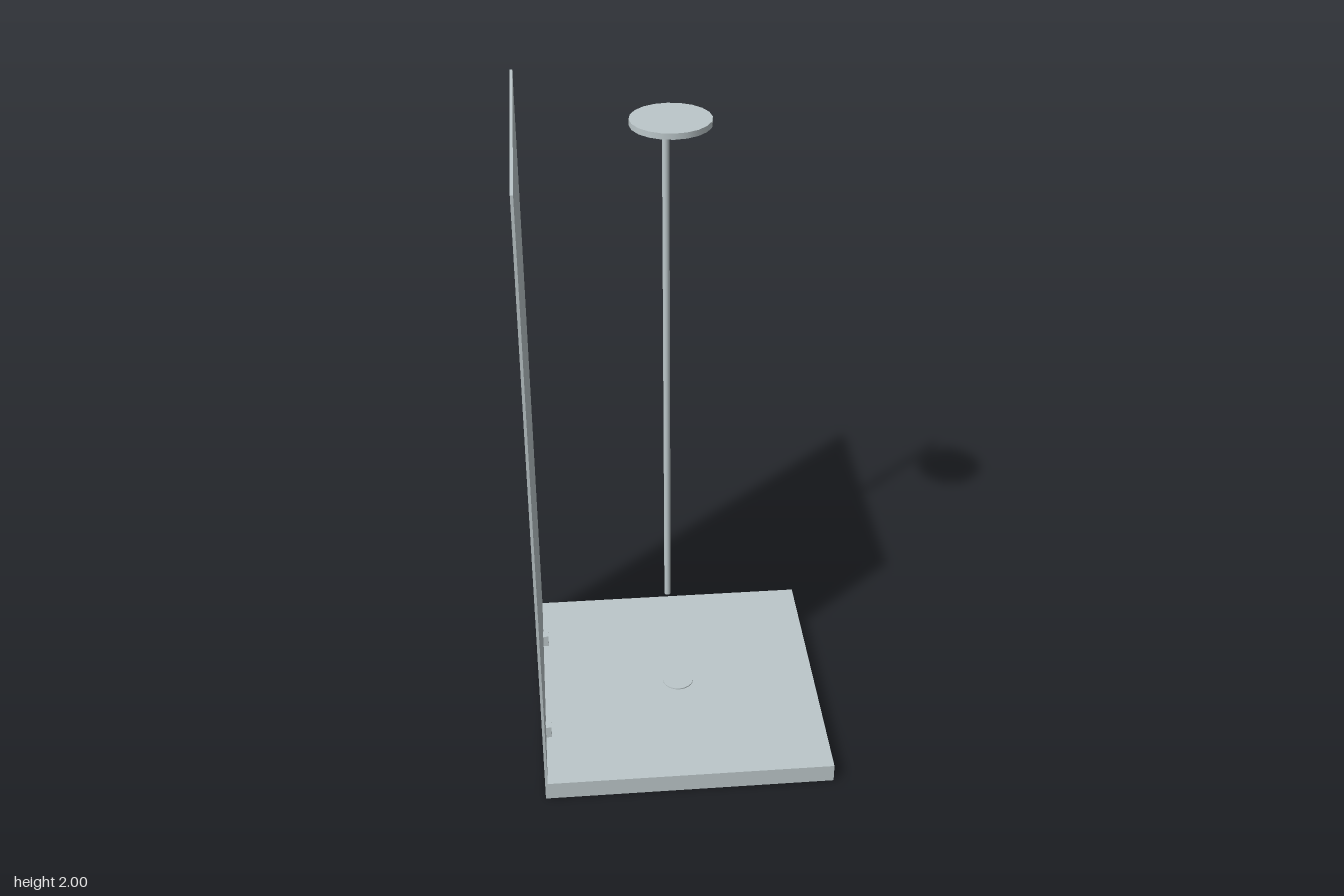
import * as THREE from 'three';

export function createModel() {
  const group = new THREE.Group();
  const grey = new THREE.MeshStandardMaterial({ color: 0xbcc7ca });
  grey.name = 'pale grey';
  grey.flatShading = false;

  const add = (name, geometry, x, y, z) => {
    const mesh = new THREE.Mesh(geometry, grey);
    mesh.name = name;
    mesh.position.set(x, y, z);
    group.add(mesh);
  };

  // Box and disc helpers, placed by their underside
  const box = (name, w, h, d, x, y, z) =>
    add(name, new THREE.BoxGeometry(w, h, d), x, y + h / 2, z);
  const disc = (name, r, h, sides, y, z) =>
    add(name, new THREE.CylinderGeometry(r, r, h, sides), 0, y + h / 2, z);

  // Shower floor and its drain
  box('tray', 0.893, 0.06, 0.893, 0, 0, 0);
  disc('drain', 0.05, 0.004, 20, 0.06, 0);

  // Side screen held by two small clamps
  box('sidePanel', 0.008, 1.94, 0.893, -0.4425, 0.06, 0);
  for (const z of [-0.225, 0.225]) {
    box('panelClamp', 0.029, 0.04, 0.029, -0.4355, 0.06, z);
  }

  // Riser pipe and shower head
  disc('riserPipe', 0.011, 1.787, 16, 0.104, -0.41);
  disc('showerHead', 0.119, 0.018, 20, 1.904, -0.23);

  return group;
}
